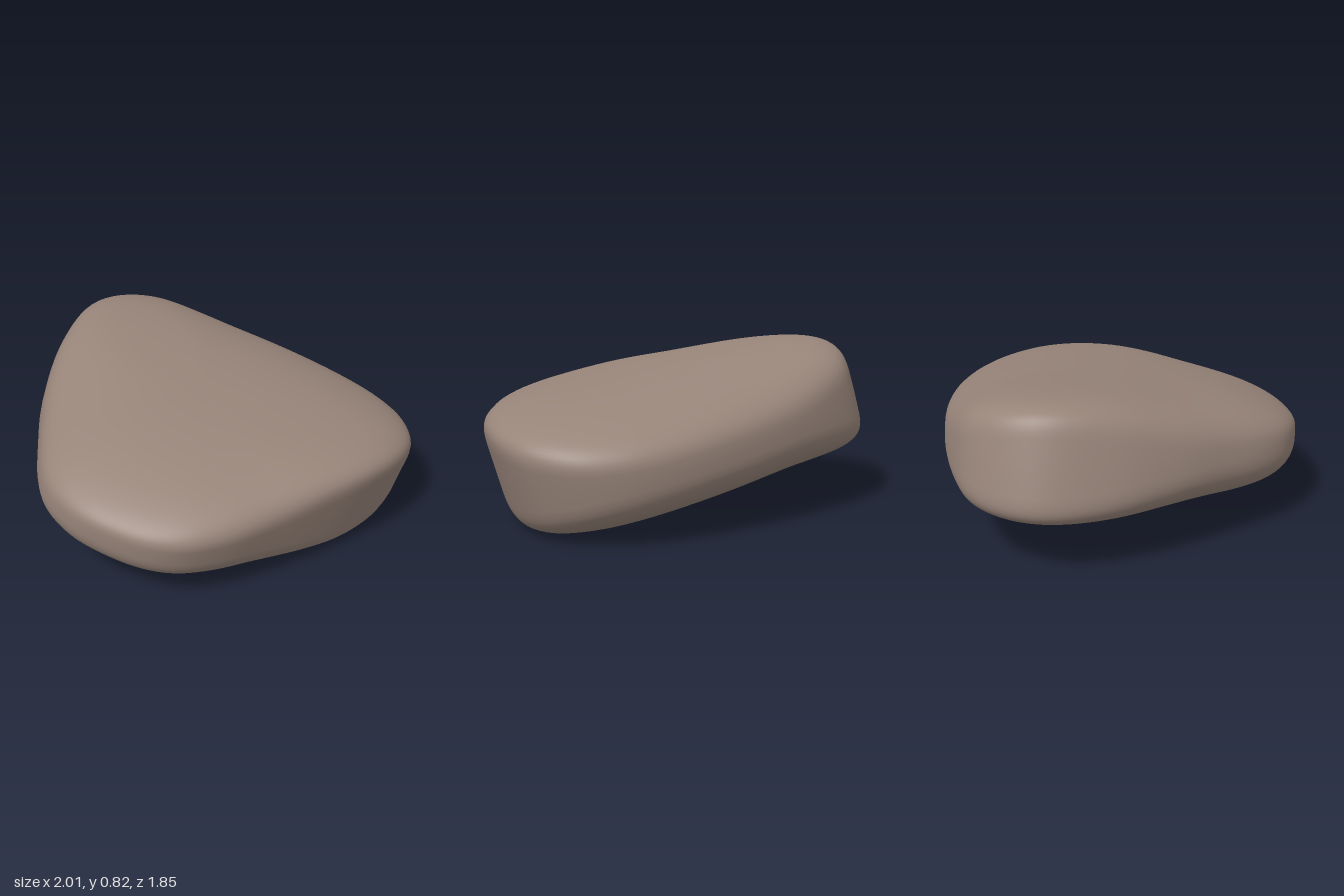
import * as THREE from 'three';

// Plan outline of the stone (x, z), clockwise seen from above
const OUTLINE = [
  [-1, -0.22], [-0.97, -0.42], [-0.85, -0.6], [-0.65, -0.715], [-0.35, -0.82], [0, -0.895],
  [0.35, -0.928], [0.6, -0.905], [0.8, -0.82], [0.95, -0.65], [1, -0.45], [0.98, -0.2],
  [0.91, 0.05], [0.81, 0.33], [0.71, 0.57], [0.59, 0.74], [0.44, 0.84], [0.22, 0.905],
  [0.05, 0.92], [-0.15, 0.88], [-0.3, 0.79], [-0.51, 0.59], [-0.72, 0.36], [-0.89, 0.1],
];
const SEGMENTS = 120, RINGS = 48;
const MID_Y = 0.408, HALF = 0.303, SLOPE = -0.168, LEAN = 0.29;

// Tilted slab with leaning walls: offset h from the middle plane.
// The upper half falls away gently towards the front and back.
function place(x, z, h) {
  const rise = h > 0 ? h * (1 - 0.35 * (z + 0.2) ** 2) : h;
  const px = x * 0.952 + LEAN * h;
  return [px, MID_Y + SLOPE * px + rise, z];
}

function stoneGeometry() {
  const curve = new THREE.CatmullRomCurve3(
    OUTLINE.map(([x, z]) => new THREE.Vector3(x, 0, z)), true);
  const rim = curve.getSpacedPoints(SEGMENTS).slice(0, SEGMENTS);
  const pos = [], idx = [];

  // Superellipse sections: crisp edges at the two side tips, softer front and back
  for (let i = 1; i < RINGS; i++) {
    const phi = (i / RINGS - 0.5) * Math.PI;
    for (const p of rim) {
      const side = Math.abs(p.x) / Math.hypot(p.x, 1.5 * (p.z + 0.25));
      const power = 2 / (3 + 4 * side ** 4);
      const rho = Math.cos(phi) ** power;
      const h = HALF * Math.sign(phi) * Math.abs(Math.sin(phi)) ** power;
      pos.push(...place(p.x * rho, p.z * rho, h));
    }
  }
  const bottom = pos.length / 3, top = bottom + 1;
  pos.push(...place(0, 0, -HALF), ...place(0, 0, HALF));

  const last = (RINGS - 2) * SEGMENTS;
  for (let j = 0; j < SEGMENTS; j++) {
    const k = (j + 1) % SEGMENTS;
    for (let r = 0; r < last; r += SEGMENTS) {
      const a = r + j, b = r + k, c = a + SEGMENTS, d = b + SEGMENTS;
      idx.push(a, c, b, b, c, d);
    }
    idx.push(bottom, j, k, top, last + k, last + j);
  }
  const geo = new THREE.BufferGeometry();
  geo.setAttribute('position', new THREE.Float32BufferAttribute(pos, 3));
  geo.setIndex(idx);
  geo.computeVertexNormals();
  return geo;
}

export function createModel() {
  const group = new THREE.Group();
  group.name = 'stone';
  const slab = new THREE.Mesh(stoneGeometry(), new THREE.MeshStandardMaterial({ color: 0x978479 }));
  slab.name = 'stoneSlab';
  group.add(slab);
  return group;
}
